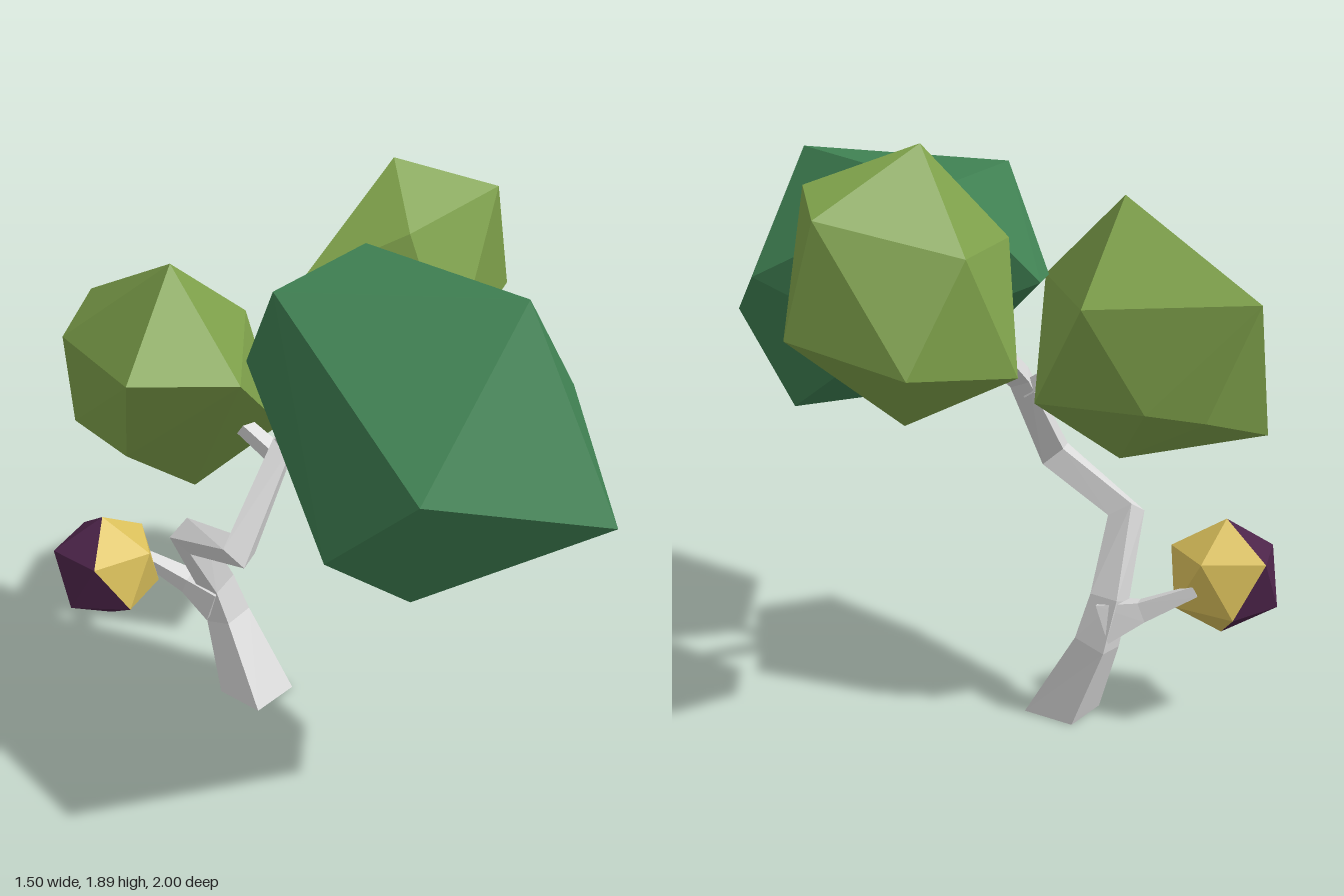
import * as THREE from 'three';
import { ConvexGeometry } from 'three/addons/geometries/ConvexGeometry.js';

const mat = (name, color) => {
  const m = new THREE.MeshStandardMaterial({ color });
  m.name = name;
  return m;
};
const vec = (p) => new THREE.Vector3(...p);

function flatGeometry(points) {
  const g = new THREE.BufferGeometry().setFromPoints(points);
  g.computeVertexNormals();
  return g;
}

// Four-sided limb swept through [x, y, z, width] stations
function limbGeometry(stations, startDir) {
  const pts = stations.map((s) => new THREE.Vector3(s[0], s[1], s[2]));
  const normal = new THREE.Vector3(1, 0, 0);
  const rings = pts.map((p, i) => {
    const dir = (a, b) => pts[b].clone().sub(pts[a]).normalize();
    const t = new THREE.Vector3();
    if (i > 0) t.add(dir(i - 1, i));
    if (i < pts.length - 1) t.add(dir(i, i + 1));
    if (i === 0 && startDir) t.copy(startDir);
    t.normalize();
    normal.addScaledVector(t, -normal.dot(t)).normalize();
    const side = t.clone().cross(normal);
    const r = stations[i][3] * Math.SQRT1_2;
    return [0, 1, 2, 3].map((k) => {
      const a = Math.PI / 4 + (k * Math.PI) / 2;
      return p.clone().addScaledVector(normal, r * Math.cos(a)).addScaledVector(side, r * Math.sin(a));
    });
  });
  const tris = [];
  for (let i = 0; i < rings.length - 1; i++) {
    for (let k = 0; k < 4; k++) {
      const n = (k + 1) % 4;
      const a = rings[i][k], b = rings[i][n], c = rings[i + 1][n], d = rings[i + 1][k];
      tris.push(a, b, c, a, c, d);
    }
  }
  const s = rings[0], e = rings[rings.length - 1];
  tris.push(s[2], s[1], s[0], s[3], s[2], s[0], e[0], e[1], e[2], e[0], e[2], e[3]);
  return flatGeometry(tris);
}

export function createModel() {
  const group = new THREE.Group();
  const bark = mat('pale bark', 0xdadada);
  const darkLeaf = mat('dark green leaves', 0x3f8052);
  const lightLeaf = mat('light green leaves', 0x7fa24b);
  const yellow = mat('yellow', 0xdcc15c);
  const purple = mat('purple', 0x4c2449);

  const add = (name, geometry, material) => {
    const mesh = new THREE.Mesh(geometry, material);
    mesh.name = name;
    group.add(mesh);
  };

  // Crooked trunk, then the branches that carry the crowns and the fruit
  add('trunk', limbGeometry([
    [-0.18, 0, -0.395, 0.18], [-0.18, 0.27, -0.52, 0.11], [-0.21, 0.42, -0.545, 0.095],
    [-0.34, 0.67, -0.525, 0.09], [-0.44, 0.79, -0.19, 0.09], [-0.22, 1.1, -0.18, 0.065],
    [0.06, 1.33, -0.19, 0.04],
  ], new THREE.Vector3(0, 1, 0)), bark);
  add('frontBranch', limbGeometry([[-0.23, 1.09, -0.18, 0.06], [-0.25, 1.2, 0.07, 0.045]]), bark);
  add('backBranch', limbGeometry([[-0.25, 1.05, -0.18, 0.05], [-0.3, 1.2, -0.4, 0.04]]), bark);
  add('fruitBranch', limbGeometry([
    [-0.2, 0.345, -0.54, 0.13], [-0.24, 0.39, -0.65, 0.065], [-0.31, 0.47, -0.8, 0.035],
  ]), bark);

  // Faceted crowns
  const crown = (name, material, corners) => add(name, new ConvexGeometry(corners.map(vec)), material);
  crown('frontCrown', darkLeaf, [
    [-0.17, 1.2, 1], [-0.19, 1.8, 0.69], [0.16, 1.4, 0.63], [-0.03, 0.92, 0.62],
    [-0.55, 0.98, 0.58], [-0.75, 1.44, 0.76], [-0.51, 1.76, 0.06], [0, 1.73, -0.03],
    [0.07, 1.22, 0.16], [-0.44, 0.95, 0.31], [-0.66, 1.07, 0.36], [-0.26, 1.41, -0.23],
    [-0.36, 1.42, -0.2],
  ]);
  crown('leftCrown', lightLeaf, [
    [0.31, 1.89, -0.17], [0.56, 1.78, 0.06], [0.725, 1.71, -0.11], [0.75, 1.37, -0.02],
    [0.19, 1.31, 0.165], [0.41, 1.59, -0.4], [0.61, 1.27, -0.34], [0.18, 1.21, -0.43],
    [0.39, 1.07, -0.17], [0.165, 1.72, 0.01], [-0.07, 1.58, -0.23], [0.02, 1.22, -0.31],
  ]);
  crown('backCrown', lightLeaf, [
    [-0.42, 1.69, -0.44], [-0.27, 1.42, -0.99], [-0.03, 1.39, -0.515], [-0.74, 1.44, -0.315],
    [-0.47, 1.4, -0.12], [-0.09, 1.06, -0.32], [-0.09, 1.08, -0.71], [-0.18, 1.06, -0.87],
    [-0.41, 0.99, -0.97], [-0.31, 0.86, -0.51], [-0.61, 1.1, -0.49], [-0.49, 1.35, -0.89],
  ]);

  // Twenty-sided fruit, yellow on one half and purple on the other
  const center = new THREE.Vector3(-0.45, 0.485, -0.83);
  const radius = 0.195;
  const corners = [new THREE.Vector3(0, radius, 0), new THREE.Vector3(0, -radius, 0)];
  for (let k = 0; k < 5; k++) {
    for (const [deg, y] of [[-18, -1], [18, 1]]) {
      const a = THREE.MathUtils.degToRad(deg + 72 * k);
      const ring = radius * 0.8944;
      corners.push(new THREE.Vector3(ring * Math.sin(a), y * radius * 0.4472, ring * Math.cos(a)));
    }
  }
  const hull = new ConvexGeometry(corners).getAttribute('position');
  const split = THREE.MathUtils.degToRad(-125);
  const halves = [[], []];
  for (let i = 0; i < hull.count; i += 3) {
    const face = [0, 1, 2].map((k) => new THREE.Vector3().fromBufferAttribute(hull, i + k));
    const mid = face[0].clone().add(face[1]).add(face[2]);
    const half = mid.x * Math.sin(split) + mid.z * Math.cos(split) > 0 ? 1 : 0;
    halves[half].push(...face.map((p) => p.add(center)));
  }
  add('fruitYellowHalf', flatGeometry(halves[0]), yellow);
  add('fruitPurpleHalf', flatGeometry(halves[1]), purple);

  return group;
}
